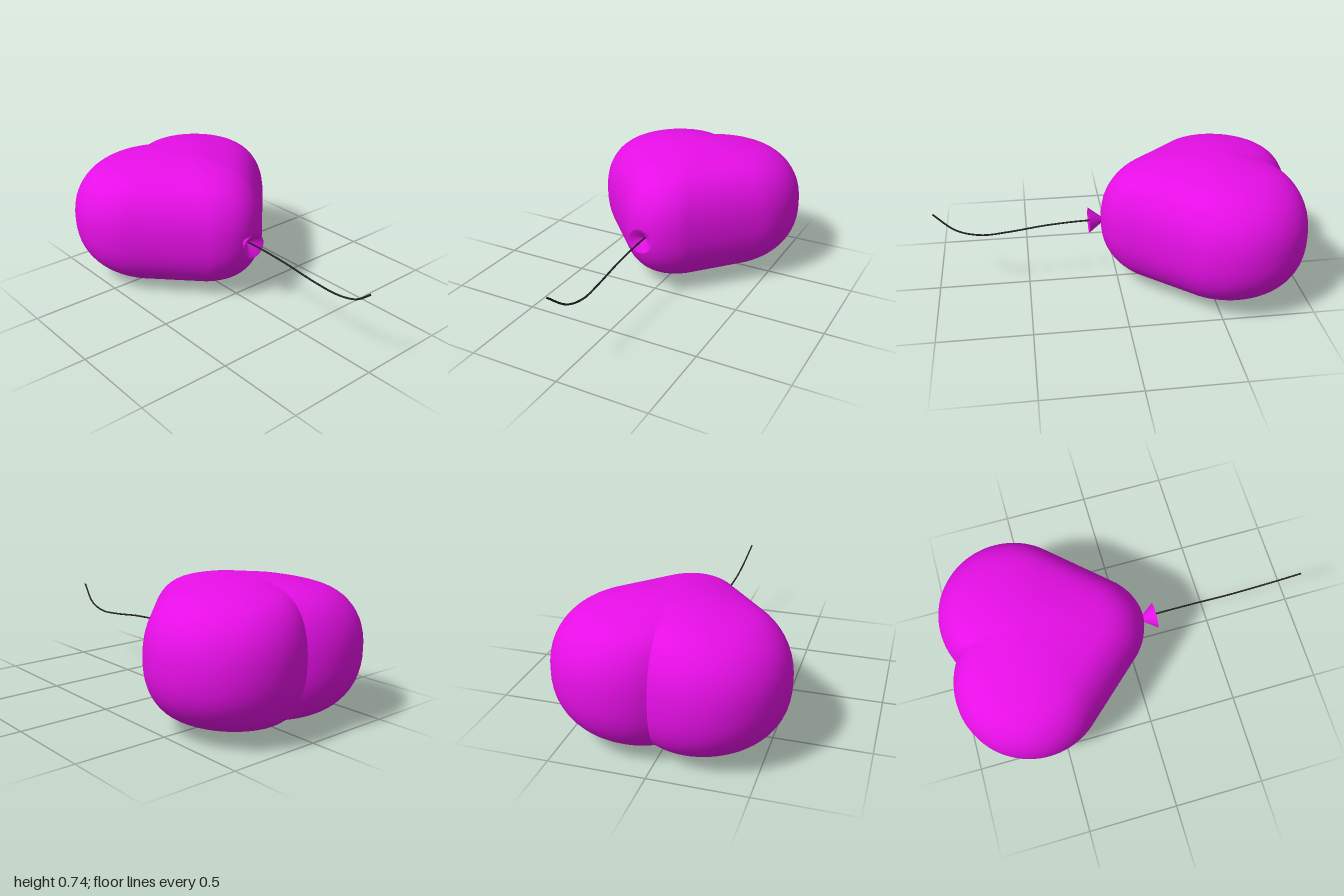
import * as THREE from 'three';
import { toCreasedNormals } from 'three/addons/utils/BufferGeometryUtils.js';

const MID_Y = 0.372;
const CENTER_Z = -0.5;

// Heart outline in plan (x, z), starting at the cleft and going round
function heartOutline() {
  const r = 0.4, a = THREE.MathUtils.degToRad(40);
  const half = new THREE.Path();
  half.absarc(0.2, -0.6, r, -Math.PI * 2 / 3, a, false);
  half.lineTo(0.18, 0.015);
  half.quadraticCurveTo(0.09, 0.09, 0, 0.09);
  const side = half.getSpacedPoints(64);
  side[0].x = 0;
  const mirrored = side.slice(1, -1).reverse().map(p => new THREE.Vector2(-p.x, p.y));
  return [...side, ...mirrored];
}

// Inflated heart: the outline is scaled ring by ring along a puffy profile
function heartGeometry() {
  const outline = heartOutline();
  const upper = [[0, 0.37], [0.2, 0.366], [0.42, 0.348], [0.66, 0.314], [0.8, 0.272],
    [0.9, 0.212], [0.965, 0.14], [0.995, 0.065]];
  const lower = upper.map(([s, h]) => [s, -h]).reverse();
  const profile = new THREE.SplineCurve(
    [...upper, [1, 0], ...lower].map(p => new THREE.Vector2(...p))).getSpacedPoints(56);

  const positions = [], index = [];
  const n = outline.length, last = profile.length - 1;
  for (const { x: s, y: h } of profile) {
    for (const p of outline) {
      positions.push(p.x * s, h, CENTER_Z + (p.y - CENTER_Z) * s);
    }
  }
  for (let i = 0; i < last; i++) {
    for (let j = 0; j < n; j++) {
      const k = (j + 1) % n;
      const a = i * n + j, c = i * n + k, b = a + n, d = c + n;
      if (i > 0) index.push(a, c, d);
      if (i < last - 1) index.push(a, d, b);
      if (i === 0) index.push(a, d, b);
      if (i === last - 1) index.push(a, c, b);
    }
  }
  // The poles need only one triangle per segment
  const geometry = new THREE.BufferGeometry();
  geometry.setAttribute('position', new THREE.Float32BufferAttribute(positions, 3));
  geometry.setIndex(index);
  return toCreasedNormals(geometry, 0.5);
}

function addMesh(group, name, geometry, material) {
  const mesh = new THREE.Mesh(geometry, material);
  mesh.name = name;
  group.add(mesh);
  return mesh;
}

export function createModel() {
  const group = new THREE.Group();
  group.name = 'heartBalloon';
  const pink = new THREE.MeshStandardMaterial({ color: 0xe60fe6 });
  const pinkOpen = new THREE.MeshStandardMaterial({ color: 0xe60fe6, side: THREE.DoubleSide });
  const dark = new THREE.MeshStandardMaterial({ color: 0x222222 });

  // Balloon body, leaning very slightly
  const body = addMesh(group, 'balloonBody', heartGeometry(), pink);
  body.position.y = MID_Y;
  body.rotation.z = 0.02;

  // Flared neck below the knot, open at the front
  const neck = addMesh(group, 'neck', new THREE.LatheGeometry(
    [[0.004, 0.07], [0.07, 0.158], [0.058, 0.154], [0, 0.1]].map(p => new THREE.Vector2(...p)), 32), pinkOpen);
  neck.geometry = toCreasedNormals(neck.geometry, 0.5);
  neck.rotation.x = Math.PI / 2;
  neck.position.set(-0.01, 0.37, 0);

  // Hanging string
  const path = new THREE.CatmullRomCurve3([
    [-0.005, 0.372, 0.08], [-0.003, 0.372, 0.2], [0, 0.36, 0.4], [0.005, 0.337, 0.6],
    [0.009, 0.331, 0.75], [0, 0.365, 0.88], [-0.027, 0.457, 0.998],
  ].map(p => new THREE.Vector3(...p)));
  addMesh(group, 'string', new THREE.TubeGeometry(path, 60, 0.005, 8), dark);

  return group;
}
